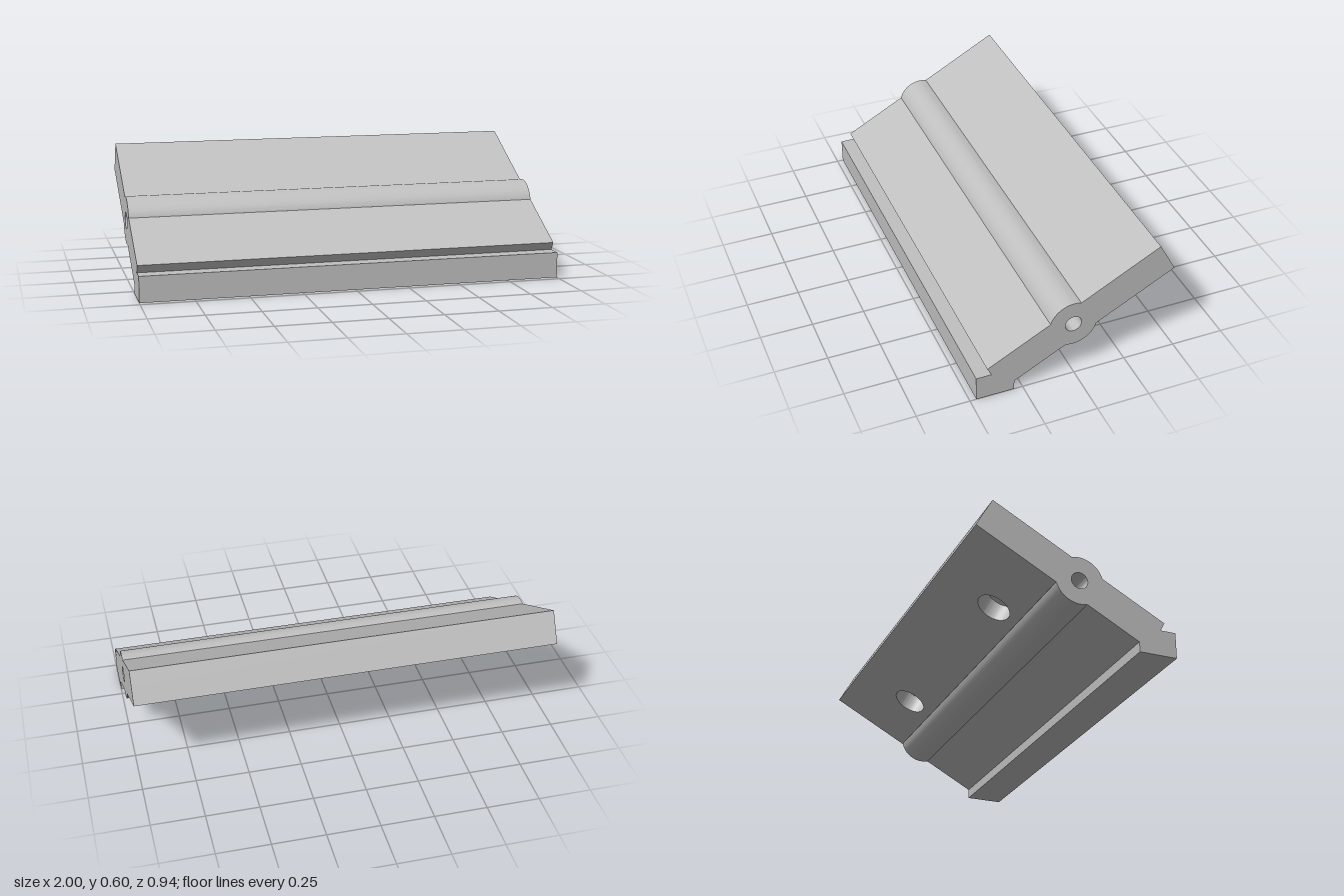
import * as THREE from 'three';
import { toCreasedNormals } from 'three/addons/utils/BufferGeometryUtils.js';

const LENGTH = 2;
const steel = new THREE.MeshStandardMaterial({ color: 0xc0c0c0 });
steel.name = 'grey metal';

function extrude(shape, depth, name) {
  const geo = new THREE.ExtrudeGeometry(shape, { depth, bevelEnabled: false, curveSegments: 40 });
  const mesh = new THREE.Mesh(toCreasedNormals(geo, 0.5), steel);
  mesh.name = name;
  return mesh;
}

export function createModel() {
  const group = new THREE.Group();
  group.name = 'hingeBar';

  // Wing underside, as (-z, y): inner corner, outer corner, direction and normal
  const inner = new THREE.Vector2(0.1, 0.26);
  const outer = new THREE.Vector2(0.47, 0.46);
  const along = outer.clone().sub(inner).normalize();
  const up = new THREE.Vector2(-along.y, along.x);
  const span = inner.distanceTo(outer);
  const holeDepth = 0.09;
  const lift = (p) => p.clone().addScaledVector(up, holeDepth);

  // Body: foot, sloping web, barrel and the upper layer of the wing
  const cx = -0.012, cy = 0.289, r = 0.1145;
  const angle = (x, y) => Math.atan2(y - cy, x - cx);
  const stepOut = lift(outer), stepIn = lift(inner);
  const body = new THREE.Shape();
  body.moveTo(-0.29, 0);
  body.lineTo(-0.47, 0);
  body.lineTo(-0.47, 0.122);
  body.lineTo(-0.398, 0.122);
  body.lineTo(-0.418, 0.16);
  body.lineTo(-0.122, 0.32);
  body.absarc(cx, cy, r, angle(-0.122, 0.32), angle(0.022, 0.398), true);
  body.lineTo(0.393, 0.6);
  body.lineTo(stepOut.x, stepOut.y);
  body.lineTo(stepIn.x, stepIn.y);
  body.lineTo(inner.x, inner.y);
  body.absarc(cx, cy, r, angle(0.1, 0.26), angle(-0.045, 0.18), true);
  body.lineTo(-0.29, 0.047);
  body.closePath();

  // Pin bore through the barrel
  const bore = new THREE.Path();
  bore.absarc(cx, cy, 0.039, 0, Math.PI * 2, false);
  body.holes.push(bore);

  const bodyMesh = extrude(body, LENGTH, 'body');
  bodyMesh.rotation.y = Math.PI / 2;
  bodyMesh.position.x = -LENGTH / 2;
  group.add(bodyMesh);

  // Lower layer of the wing, with two blind holes opening underneath
  const plate = new THREE.Shape();
  plate.moveTo(-LENGTH / 2, 0);
  plate.lineTo(LENGTH / 2, 0);
  plate.lineTo(LENGTH / 2, span);
  plate.lineTo(-LENGTH / 2, span);
  plate.closePath();
  for (const x of [-0.57, 0.57]) {
    const hole = new THREE.Path();
    hole.absarc(x, span * 0.3, 0.08, 0, Math.PI * 2, true);
    plate.holes.push(hole);
  }
  const plateMesh = extrude(plate, holeDepth, 'wingUnderside');
  plateMesh.rotation.x = Math.atan2(-along.x, along.y);
  plateMesh.position.set(0, inner.y, -inner.x);
  group.add(plateMesh);

  return group;
}
